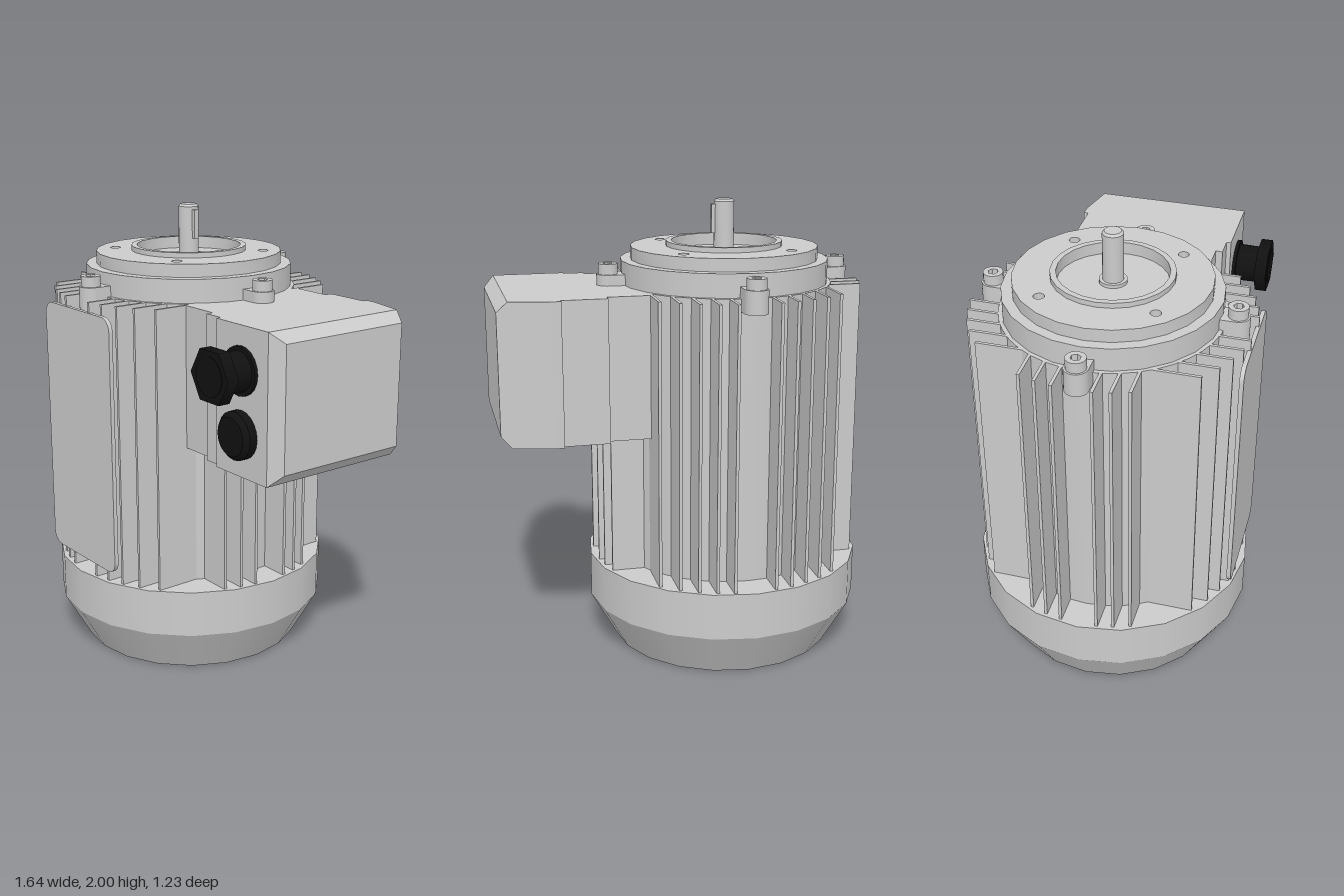
import * as THREE from 'three';
import { toCreasedNormals } from 'three/addons/utils/BufferGeometryUtils.js';

const AXIS = -0.207;      // x of the motor axis
const CORE_R = 0.47, FIN_R = 0.595;

const grey = new THREE.MeshStandardMaterial({ color: 0xcccccc });
const black = new THREE.MeshStandardMaterial({ color: 0x111111 });

function add(parent, name, geometry, x = 0, y = 0, z = 0, material = grey) {
  const mesh = new THREE.Mesh(geometry, material);
  mesh.name = name;
  mesh.position.set(x, y, z);
  parent.add(mesh);
  return mesh;
}

// Upright cylinder between two heights
function drum(parent, name, rTop, rBottom, y0, y1, sides) {
  return add(parent, name, new THREE.CylinderGeometry(rTop, rBottom, y1 - y0, sides), 0, (y0 + y1) / 2, 0);
}

function ngon(r, sides, cx = 0, cy = 0) {
  const pts = [];
  for (let i = 0; i < sides; i++) {
    const a = (i / sides) * Math.PI * 2 + Math.PI / 2;
    pts.push(new THREE.Vector2(cx + r * Math.cos(a), cy + r * Math.sin(a)));
  }
  return pts;
}

// Flat disc with holes, base on y = 0
function holedDisc(r, sides, holes, height) {
  const shape = new THREE.Shape(ngon(r, sides));
  holes.forEach(h => shape.holes.push(new THREE.Path(h)));
  const g = new THREE.ExtrudeGeometry(shape, { depth: height, bevelEnabled: false });
  g.rotateX(-Math.PI / 2);
  return toCreasedNormals(g, 0.5);
}

// Loft of rectangles along x; each station is [x, zMin, zMax, yMin, yMax]
function rectLoft(stations) {
  const pos = [], idx = [];
  for (const [x, z0, z1, y0, y1] of stations) pos.push(x, y0, z0, x, y0, z1, x, y1, z1, x, y1, z0);
  const n = stations.length;
  for (let s = 0; s < n - 1; s++) {
    for (let i = 0; i < 4; i++) {
      const a = s * 4 + i, b = s * 4 + (i + 1) % 4;
      idx.push(a, a + 4, b, b, a + 4, b + 4);
    }
  }
  const e = (n - 1) * 4;
  idx.push(0, 1, 2, 0, 2, 3, e, e + 2, e + 1, e, e + 3, e + 2);
  let g = new THREE.BufferGeometry();
  g.setAttribute('position', new THREE.Float32BufferAttribute(pos, 3));
  g.setIndex(idx);
  // Triangles wind with the corner order; flip so they face outwards
  for (let i = 0; i < idx.length; i += 3) [idx[i + 1], idx[i + 2]] = [idx[i + 2], idx[i + 1]];
  g.setIndex(idx);
  const p = g.attributes.position;
  const [a, b, c] = idx.slice(-3).map(i => new THREE.Vector3().fromBufferAttribute(p, i));
  const facing = b.sub(a).cross(c.sub(a)).x;
  if (facing < 0) {
    for (let i = 0; i < idx.length; i += 3) [idx[i + 1], idx[i + 2]] = [idx[i + 2], idx[i + 1]];
    g.setIndex(idx);
  }
  g = g.toNonIndexed();
  g.computeVertexNormals();
  return g;
}

// Solid of revolution about z, used for the cable fittings
function zLathe(profile, sides) {
  const g = new THREE.LatheGeometry(profile.map(p => new THREE.Vector2(...p)), sides);
  g.rotateX(Math.PI / 2);
  return toCreasedNormals(g, 0.6);
}

function buildMotor() {
  const motor = new THREE.Group();
  motor.name = 'motor';
  motor.position.x = AXIS;

  // Fan cowl and finned housing
  drum(motor, 'fanCowlTaper', 0.615, 0.5, 0, 0.205, 20);
  drum(motor, 'fanCowlBand', 0.615, 0.615, 0.205, 0.41, 20);
  drum(motor, 'housingCore', CORE_R, CORE_R, 0.4, 1.645, 40);

  const fins = new THREE.Group();
  fins.name = 'coolingFins';
  motor.add(fins);
  const many = [0.09, 0.163, 0.236, 0.31, 0.385], few = [0.08, 0.15, 0.22];
  [many, few, many, few].forEach((offsets, side) => {
    const bank = new THREE.Group();
    bank.name = 'finBank';
    bank.rotation.y = side * Math.PI / 2;
    fins.add(bank);
    for (const o of offsets) for (const s of [-1, 1]) {
      const inner = Math.sqrt(CORE_R ** 2 - o * o) - 0.03;
      const outer = Math.sqrt(FIN_R ** 2 - o * o);
      add(bank, 'fin', new THREE.BoxGeometry(0.013, 1.24, outer - inner), s * o, 1.025, (inner + outer) / 2);
    }
  });

  // End flange with recessed face and four tapped holes
  drum(motor, 'endShield', 0.455, 0.455, 1.64, 1.745, 24);
  const holes = [ngon(0.23, 24)];
  for (const sx of [-1, 1]) for (const sy of [-1, 1]) holes.push(ngon(0.023, 12, sx * 0.235, sy * 0.235));
  add(motor, 'flange', holedDisc(0.41, 24, holes, 0.055), 0, 1.745, 0);
  add(motor, 'spigotRing', holedDisc(0.255, 24, [ngon(0.23, 24)], 0.022), 0, 1.8, 0);
  drum(motor, 'recessFloor', 0.232, 0.232, 1.74, 1.77, 24);

  // Shaft and key
  const profile = [[0.058, 1.74], [0.058, 1.785], [0.044, 1.785], [0.044, 1.99], [0.035, 2], [0, 2]];
  add(motor, 'shaft', toCreasedNormals(
    new THREE.LatheGeometry(profile.map(p => new THREE.Vector2(...p)), 20), 0.6));
  add(motor, 'shaftKey', new THREE.BoxGeometry(0.04, 0.125, 0.022), 0.038, 1.915, 0);

  // Four bolted lugs
  for (let i = 0; i < 4; i++) {
    const lug = new THREE.Group();
    lug.name = 'boltLug';
    lug.rotation.y = i * Math.PI / 2;
    motor.add(lug);
    add(lug, 'lugBlock', new THREE.BoxGeometry(0.1, 0.1, 0.12), 0, 1.642, 0.455);
    const tip = add(lug, 'lugTip',
      new THREE.CylinderGeometry(0.05, 0.05, 0.1, 16, 1, false, -Math.PI / 2, Math.PI), 0, 1.642, 0.515);
    tip.material = grey;
    add(lug, 'boltHead', holedDisc(0.042, 18, [ngon(0.022, 6)], 0.045), 0, 1.692, 0.515);
  }

  // Rounded name plate on the front fins
  const w = 0.2525, h = 0.565, r = 0.055;
  const plate = new THREE.Shape();
  plate.absarc(w - r, h - r, r, 0, Math.PI / 2);
  plate.absarc(-w + r, h - r, r, Math.PI / 2, Math.PI);
  plate.absarc(-w + r, -h + r, r, Math.PI, Math.PI * 1.5);
  plate.absarc(w - r, -h + r, r, Math.PI * 1.5, Math.PI * 2);
  add(motor, 'blankPlate', new THREE.ExtrudeGeometry(plate,
    { depth: 0.018, bevelEnabled: false, curveSegments: 6 }), 0, 1.035, 0.575);
  return motor;
}

function buildTerminalBox() {
  const box = new THREE.Group();
  box.name = 'terminalBox';
  const lo = 1.03, hi = 1.645;
  add(box, 'boxNeck', rectLoft([[0.18, -0.305, 0.305, lo, hi], [0.37, -0.305, 0.305, lo, hi]]));
  add(box, 'boxBase', rectLoft([[0.365, -0.338, 0.335, lo, hi], [0.565, -0.338, 0.335, lo, hi]]));
  add(box, 'boxFrontWall', rectLoft([[0.455, 0, 0.355, lo, hi], [0.565, 0, 0.355, lo, hi]]));
  add(box, 'boxCover', rectLoft([
    [0.56, -0.358, 0.355, lo, hi], [0.605, -0.358, 0.355, lo, hi],
    [0.772, -0.32, 0.355, lo, hi], [0.818, -0.305, 0.305, 1.08, 1.6]]));

  // Cable gland with hexagonal nut, and blanking plug below it
  add(box, 'cableGland', zLathe([[0, 0.515], [0.08, 0.515], [0.083, 0.37], [0.1, 0.37], [0.1, 0.35], [0, 0.35]].reverse(), 20),
    0.613, 1.465, 0, black);
  const nut = new THREE.CylinderGeometry(0.117, 0.117, 0.052, 6);
  nut.rotateY(Math.PI / 6).rotateX(Math.PI / 2);
  add(box, 'glandNut', nut, 0.613, 1.465, 0.486, black).rotation.z = 0;
  add(box, 'blankingPlug', zLathe([[0, 0.35], [0.1, 0.35], [0.1, 0.39], [0.08, 0.41], [0, 0.41]], 20),
    0.613, 1.207, 0, black);
  return box;
}

export function createModel() {
  const model = new THREE.Group();
  model.name = 'electricMotor';
  model.add(buildMotor(), buildTerminalBox());
  return model;
}
